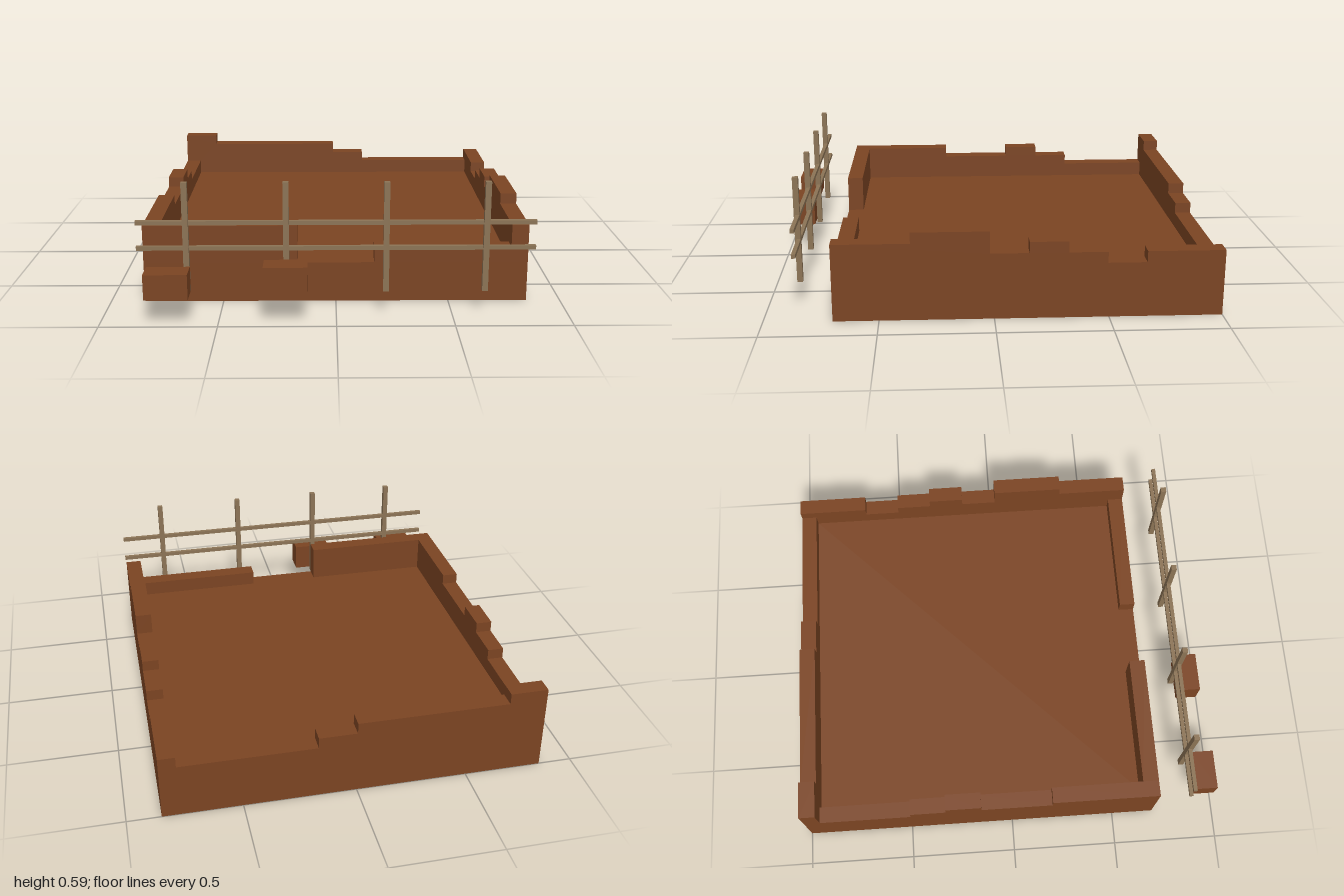
import * as THREE from 'three';

const FLOOR = 0.18, THICK = 0.075;

export function createModel() {
  const model = new THREE.Group();
  model.name = 'ruinedFoundation';
  const earth = new THREE.MeshStandardMaterial({ color: 0x7b4422 });
  earth.name = 'brownBrick';
  const wood = new THREE.MeshStandardMaterial({ color: 0x8b7355 });
  wood.name = 'weatheredWood';

  function add(name, geometry, material, x = 0, y = 0, z = 0) {
    const mesh = new THREE.Mesh(geometry, material);
    mesh.name = name;
    mesh.position.set(x, y, z);
    model.add(mesh);
    return mesh;
  }

  // Box given by its low and high corners
  function box(name, material, [x0, y0, z0], [x1, y1, z1]) {
    return add(name, new THREE.BoxGeometry(x1 - x0, y1 - y0, z1 - z0), material,
      (x0 + x1) / 2, (y0 + y1) / 2, (z0 + z1) / 2);
  }

  // Broken wall profile: steps are [end, height] running from start
  function wall(name, start, steps) {
    const shape = new THREE.Shape();
    shape.moveTo(start, FLOOR);
    let u = start;
    for (const [end, height] of steps) {
      shape.lineTo(u, height);
      shape.lineTo(end, height);
      u = end;
    }
    shape.lineTo(u, FLOOR);
    return add(name, new THREE.ExtrudeGeometry(shape, { depth: THICK, bevelEnabled: false }), earth);
  }

  // Solid floor slab
  box('floorSlab', earth, [-0.85, 0, -1], [0.85, FLOOR, 0.7]);

  // Walls along x
  wall('backWall', -0.85, [[-0.68, 0.4], [0, 0.35], [0.17, 0.3], [0.775, 0.25]]).position.z = -1;
  wall('frontWallRight', -0.775, [[-0.17, 0.35]]).position.z = 0.7 - THICK;
  wall('frontWallLeft', 0.17, [[0.775, 0.25]]).position.z = 0.7 - THICK;

  // Walls along z
  const leftWall = wall('leftWall', -1,
    [[-0.66, 0.3], [-0.49, 0.25], [-0.32, 0.3], [-0.15, 0.35], [0.02, 0.3], [0.36, 0.4], [0.7, 0.35]]);
  const rightWall = wall('rightWall', -0.925,
    [[-0.49, 0.25], [-0.32, 0.3], [-0.15, 0.35], [0.19, 0.3], [0.7, 0.35]]);
  for (const [side, x] of [[leftWall, 0.85], [rightWall, -0.85 + THICK]]) {
    side.rotation.y = -Math.PI / 2;
    side.position.x = x;
  }

  // Fence posts and rails
  for (const x of [-0.638, -0.213, 0.213, 0.638]) {
    box('fencePost', wood, [x - 0.0125, 0.107, 0.845], [x + 0.0125, 0.59, 0.87]);
  }
  for (const y of [0.3, 0.412]) {
    box('fenceRail', wood, [-0.85, y - 0.009, 0.845], [0.85, y + 0.009, 0.863]);
  }

  // Fallen blocks
  box('outerBlock', earth, [-0.805, 0.12, 0.895], [-0.62, 0.23, 1]);
  box('innerBlock', earth, [-0.308, 0.12, 0.872], [-0.122, 0.252, 0.975]);

  return model;
}
